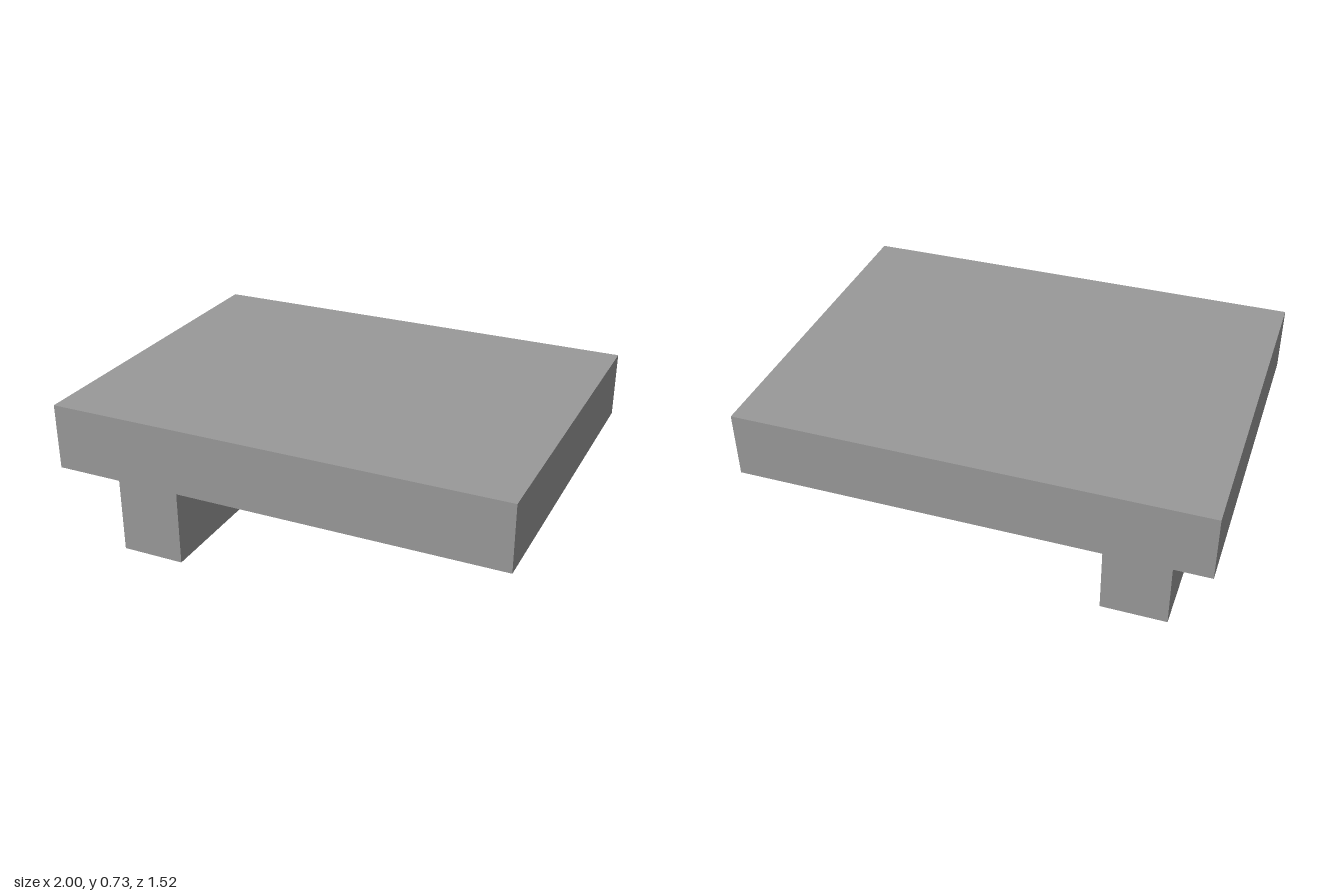
import * as THREE from 'three';
import { toCreasedNormals } from 'three/addons/utils/BufferGeometryUtils.js';

const grey = new THREE.MeshStandardMaterial({ color: 0x999999 });
grey.name = 'plain grey';

const LENGTH = 2, DEPTH = 1.52, BOTTOM = 0.44, TOP = 0.73;
const HOLE = { x: 0.705, z: 0.465, radius: 0.088, depth: 0.2 };

function addMesh(parent, name, geometry, x = 0, y = 0, z = 0) {
  const mesh = new THREE.Mesh(geometry, grey);
  mesh.name = name;
  mesh.position.set(x, y, z);
  parent.add(mesh);
  return mesh;
}

export function createModel() {
  const model = new THREE.Group();
  model.name = 'model';

  const slab = new THREE.Group();
  slab.name = 'slab';
  model.add(slab);

  // Slab top and sides: a box without its bottom face (indices 18 to 23)
  const shell = new THREE.BoxGeometry(LENGTH, TOP - BOTTOM, DEPTH);
  shell.setIndex(Array.from(shell.index.array).filter((_, i) => i < 18 || i >= 24));
  shell.clearGroups();
  addMesh(slab, 'slabTopAndSides', shell, 0, (TOP + BOTTOM) / 2, 0);

  // Slab underside, pierced by two round holes
  const w = LENGTH / 2, d = DEPTH / 2;
  const outline = new THREE.Shape([
    new THREE.Vector2(-w, -d), new THREE.Vector2(w, -d),
    new THREE.Vector2(w, d), new THREE.Vector2(-w, d),
  ]);
  for (const side of [-1, 1]) {
    const hole = new THREE.Path();
    hole.absarc(HOLE.x, side * HOLE.z, HOLE.radius, 0, Math.PI * 2, true);
    outline.holes.push(hole);
  }
  const underside = new THREE.ShapeGeometry(outline, 16);
  underside.rotateX(Math.PI / 2);
  addMesh(slab, 'slabUnderside', underside, 0, BOTTOM, 0);

  // Blind sockets: ceiling and inward-facing wall
  const socket = toCreasedNormals(new THREE.LatheGeometry([
    new THREE.Vector2(0, HOLE.depth),
    new THREE.Vector2(HOLE.radius, HOLE.depth),
    new THREE.Vector2(HOLE.radius, 0),
  ], 32), 0.7);
  for (const side of [-1, 1]) {
    addMesh(slab, side > 0 ? 'frontSocket' : 'backSocket', socket, HOLE.x, BOTTOM, side * HOLE.z);
  }

  // Rail under the right end
  addMesh(model, 'rail', new THREE.BoxGeometry(0.29, BOTTOM, 1.22), -0.675, BOTTOM / 2, 0);

  return model;
}
